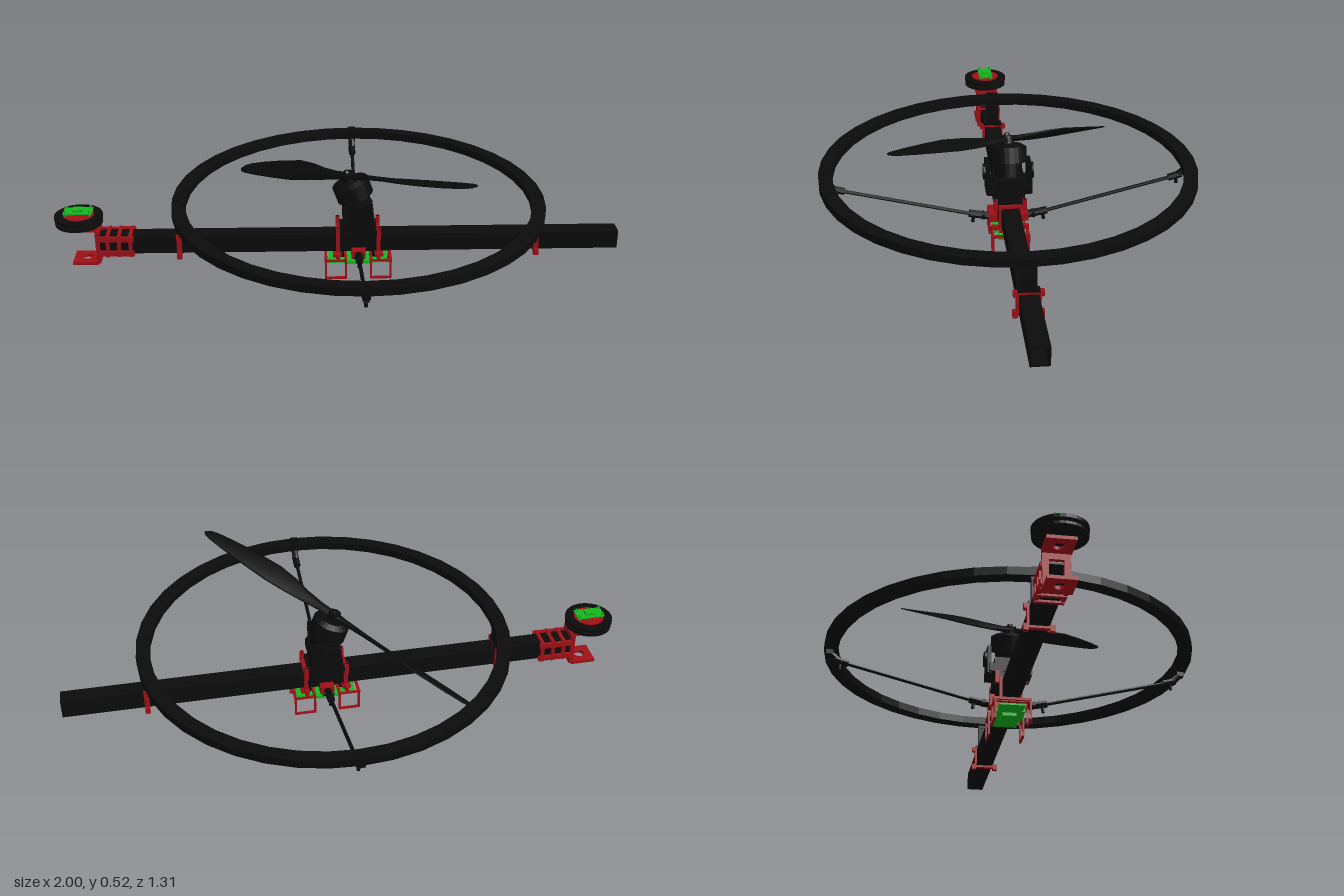
import * as THREE from 'three';

const mat = (color) => new THREE.MeshStandardMaterial({ color, flatShading: true, side: THREE.DoubleSide });

export function createModel() {
  const model = new THREE.Group();
  model.name = 'tiltRotorArm';
  const black = mat(0x0b0b0b), red = mat(0xa01018), green = mat(0x14b81e);
  const CX = 0.072, BY = 0.128; // rotor centre x, beam centre y

  const add = (name, geo, m, x = 0, y = 0, z = 0, parent = model) => {
    const mesh = new THREE.Mesh(geo, m);
    mesh.name = name;
    mesh.position.set(x, y, z);
    parent.add(mesh);
    return mesh;
  };
  const box = (name, m, w, h, d, x, y, z, parent) => add(name, new THREE.BoxGeometry(w, h, d), m, x, y, z, parent);
  const cyl = (name, m, r1, r2, h, x, y, z, parent, n = 24) =>
    add(name, new THREE.CylinderGeometry(r1, r2, h, n), m, x, y, z, parent);
  // Round bar between two points
  const rod = (name, m, a, b, r, n = 8) => {
    const p = new THREE.Vector3(...a), q = new THREE.Vector3(...b), d = q.clone().sub(p);
    const mesh = add(name, new THREE.CylinderGeometry(r, r, d.length(), n), m);
    mesh.position.copy(p).add(q).multiplyScalar(0.5);
    mesh.quaternion.setFromUnitVectors(new THREE.Vector3(0, 1, 0), d.normalize());
    return mesh;
  };
  // Hollow rectangular section running along x
  const tube = (name, m, len, w, h, wall, x, y) => {
    const rect = (P, a, b) => {
      const p = new P();
      p.moveTo(-a, -b); p.lineTo(a, -b); p.lineTo(a, b); p.lineTo(-a, b); p.closePath();
      return p;
    };
    const s = rect(THREE.Shape, w / 2, h / 2);
    s.holes.push(rect(THREE.Path, w / 2 - wall, h / 2 - wall));
    const g = new THREE.ExtrudeGeometry(s, { depth: len, bevelEnabled: false });
    g.translate(0, 0, -len / 2).rotateY(Math.PI / 2);
    return add(name, g, m, x, y, 0);
  };

  // Main beam
  tube('beam', black, 1.85, 0.062, 0.066, 0.006, 0.075, BY);

  // Guard ring with a square section
  const ringProfile = [[0.607, -0.014], [0.655, -0.014], [0.655, 0.014], [0.607, 0.014], [0.607, -0.014]]
    .map(([x, y]) => new THREE.Vector2(x, y));
  add('guardRing', new THREE.LatheGeometry(ringProfile, 40), black, CX, 0.278, 0);

  // Ring posts clamped to the beam
  for (const s of [-1, 1]) {
    const x = CX + s * 0.635;
    tube('postClamp', red, 0.018, 0.078, 0.082, 0.009, x, BY);
    for (const z of [-0.042, 0.042]) {
      box('clampEar', red, 0.018, 0.022, 0.016, x, 0.09, z);
      box('clampEar', red, 0.018, 0.018, 0.014, x, 0.162, z);
    }
    box('ringPost', black, 0.017, 0.1, 0.05, x, 0.217, 0);
    box('postFoot', black, 0.018, 0.014, 0.07, x, 0.172, 0);
    box('ringCap', black, 0.02, 0.05, 0.045, x, 0.276, 0);
  }

  // Sloping side struts with joints at both ends
  for (const s of [-1, 1]) {
    rod('strut', black, [CX, 0.105, s * 0.12], [CX, 0.222, s * 0.59], 0.0065);
    box('ringClip', black, 0.026, 0.052, 0.026, CX, 0.274, s * 0.634);
    rod('outerArm', black, [CX, 0.256, s * 0.636], [CX, 0.218, s * 0.59], 0.012);
    rod('outerSocket', black, [CX, 0.23, s * 0.615], [CX, 0.217, s * 0.568], 0.013);
    rod('outerBolt', black, [CX, 0.225, s * 0.596], [CX, 0.195, s * 0.598], 0.006);
    rod('innerSocket', black, [CX, 0.097, s * 0.07], [CX, 0.11, s * 0.138], 0.014);
    rod('innerBolt', black, [CX, 0.105, s * 0.122], [CX, 0.076, s * 0.126], 0.006);
    rod('innerPin', black, [CX - 0.02, 0.1, s * 0.088], [CX + 0.02, 0.1, s * 0.088], 0.008);
    box('innerBracket', red, 0.05, 0.03, 0.04, CX, 0.098, s * 0.05);
  }

  // Rotor mount: clamps, saddle and body
  for (const s of [-1, 1]) {
    const x = CX + s * 0.072;
    tube('mountClamp', red, 0.014, 0.08, 0.092, 0.009, x, 0.124);
    for (const z of [-0.05, 0.05]) {
      box('mountPost', red, 0.014, 0.045, 0.014, x, 0.172, z);
      rod('mountBolt', black, [x, 0.195, z], [x, 0.15, z], 0.005);
      box('mountLug', red, 0.014, 0.016, 0.03, x, 0.087, z);
    }
    box('saddleSide', black, 0.105, 0.07, 0.008, CX, 0.133, s * 0.036);
    box('sidePlate', black, 0.09, 0.105, 0.014, CX, 0.252, s * 0.073);
    cyl('tiltPivot', black, 0.028, 0.028, 0.012, CX, 0.27, s * 0.082).rotation.x = Math.PI / 2;
  }
  box('saddleTop', black, 0.13, 0.014, 0.11, CX, 0.172, 0);
  box('mountBody', black, 0.105, 0.09, 0.108, CX, 0.213, 0);
  box('mountShelf', black, 0.11, 0.03, 0.15, CX, 0.218, 0);

  // Tilted motor with propeller
  const rotor = new THREE.Group();
  rotor.name = 'tiltedRotor';
  rotor.position.set(CX, 0.27, 0);
  rotor.rotation.z = THREE.MathUtils.degToRad(20);
  model.add(rotor);
  cyl('motorBase', black, 0.05, 0.045, 0.05, 0, 0.005, 0, rotor);
  cyl('motorCan', black, 0.066, 0.066, 0.055, 0, 0.057, 0, rotor);
  cyl('motorTop', black, 0.045, 0.066, 0.012, 0, 0.09, 0, rotor);
  cyl('propHub', black, 0.022, 0.024, 0.03, 0, 0.108, 0, rotor, 16);
  cyl('propNut', black, 0.008, 0.012, 0.01, 0, 0.127, 0, rotor, 6);

  // Blade stations: radius, chord, pitch in degrees, thickness, sweep
  const stations = [
    [0, 0.036, 8, 0.022, 0], [0.06, 0.036, 20, 0.02, 0], [0.13, 0.05, 30, 0.016, 0], [0.2, 0.072, 28, 0.013, 0.004],
    [0.28, 0.088, 24, 0.011, 0.006], [0.38, 0.084, 19, 0.009, 0.004], [0.48, 0.07, 15, 0.007, 0],
    [0.55, 0.052, 12, 0.005, -0.004], [0.575, 0.034, 11, 0.004, -0.006], [0.585, 0.01, 11, 0.002, -0.008]];
  const bladeGeometry = () => {
    const N = 10, pos = [], idx = [];
    stations.forEach(([r, chord, pitch, t, sweep], i) => {
      const a = THREE.MathUtils.degToRad(pitch);
      for (let j = 0; j < N; j++) {
        const u = (j / N) * Math.PI * 2;
        const c = Math.cos(u) * chord / 2 + sweep, h = Math.sin(u) * t / 2;
        pos.push(r, c * Math.sin(a) + h * Math.cos(a), c * Math.cos(a) - h * Math.sin(a));
        if (i) {
          const k = (j + 1) % N, p = (i - 1) * N, q = i * N;
          idx.push(p + j, p + k, q + j, p + k, q + k, q + j);
        }
      }
    });
    const g = new THREE.BufferGeometry();
    g.setAttribute('position', new THREE.Float32BufferAttribute(pos, 3));
    g.setIndex(idx);
    g.computeVertexNormals();
    return g;
  };
  const bladeMat = new THREE.MeshStandardMaterial({ color: 0x0b0b0b, side: THREE.DoubleSide });
  for (const turn of [0, Math.PI])
    add('propBlade', bladeGeometry(), bladeMat, 0, 0.11, 0, rotor).rotation.y = -Math.PI / 4 + turn;

  // Landing legs: open red frames under the mount
  for (const s of [-1, 1]) {
    const inner = CX + s * 0.045, outer = CX + s * 0.115, mid = (inner + outer) / 2;
    for (const z of [-0.062, 0.062]) {
      for (const x of [inner, outer]) box('legUpright', red, 0.007, 0.07, 0.007, x, 0.039, z);
      for (const y of [0.0035, 0.072]) box('legRail', red, 0.077, 0.007, 0.007, mid, y, z);
    }
    for (const x of [inner, outer]) box('legCrossbar', red, 0.009, 0.009, 0.131, x, 0.073, 0);
    box('legPlate', red, 0.03, 0.01, 0.08, CX + s * 0.075, 0.079, 0);
  }

  // Controller board under the beam
  box('controllerBoard', green, 0.21, 0.007, 0.09, CX, 0.058, 0);
  box('controllerChip', green, 0.07, 0.014, 0.05, CX, 0.05, 0);
  for (const z of [-0.045, 0.045]) box('boardConnector', green, 0.1, 0.012, 0.018, CX, 0.06, z);
  for (const s of [-1, 1]) box('boardSocket', black, 0.02, 0.014, 0.03, CX + s * 0.06, 0.065, 0);

  // End fitting: slatted sleeve round the beam tip
  for (const x of [-0.735, -0.775, -0.815]) tube('sleeveBand', red, 0.012, 0.09, 0.08, 0.011, x, BY);
  for (const z of [-0.04, 0.04])
    for (const y of [0.1, 0.156]) box('sleeveRail', red, 0.125, 0.018, 0.012, -0.785, y, z);
  tube('endFrame', red, 0.014, 0.085, 0.125, 0.02, -0.85, 0.125);

  // Lower tray and upper platform
  const tray = new THREE.Shape();
  tray.moveTo(-0.045, -0.045); tray.lineTo(0.045, -0.045); tray.lineTo(0.045, 0.045); tray.lineTo(-0.045, 0.045);
  tray.holes.push(new THREE.Path().absarc(0, 0, 0.018, 0, Math.PI * 2, true));
  for (const [name, y] of [['lowerTray', 0.058], ['upperPlatform', 0.187]]) {
    const g = new THREE.ExtrudeGeometry(tray, { depth: 0.011, bevelEnabled: false, curveSegments: 12 });
    g.rotateX(-Math.PI / 2);
    add(name, g, red, -0.897, y, 0);
  }

  // Sensor drum with two flanges and a green board on top
  const SX = -0.915;
  cyl('drumLower', black, 0.083, 0.083, 0.009, SX, 0.209, 0, model, 32);
  cyl('drumCore', black, 0.064, 0.064, 0.02, SX, 0.22, 0, model, 32);
  cyl('drumUpper', black, 0.085, 0.085, 0.011, SX, 0.23, 0, model, 32);
  cyl('drumRing', red, 0.054, 0.054, 0.004, SX, 0.237, 0, model, 32);
  box('sensorBoard', green, 0.1, 0.005, 0.054, SX, 0.249, 0);
  for (const x of [-0.042, 0.042])
    for (const z of [-0.02, 0.02]) cyl('boardStandoff', green, 0.004, 0.004, 0.026, SX + x, 0.248, z, model, 6);
  box('sensorChip', green, 0.035, 0.01, 0.03, SX, 0.255, 0);
  return model;
}
